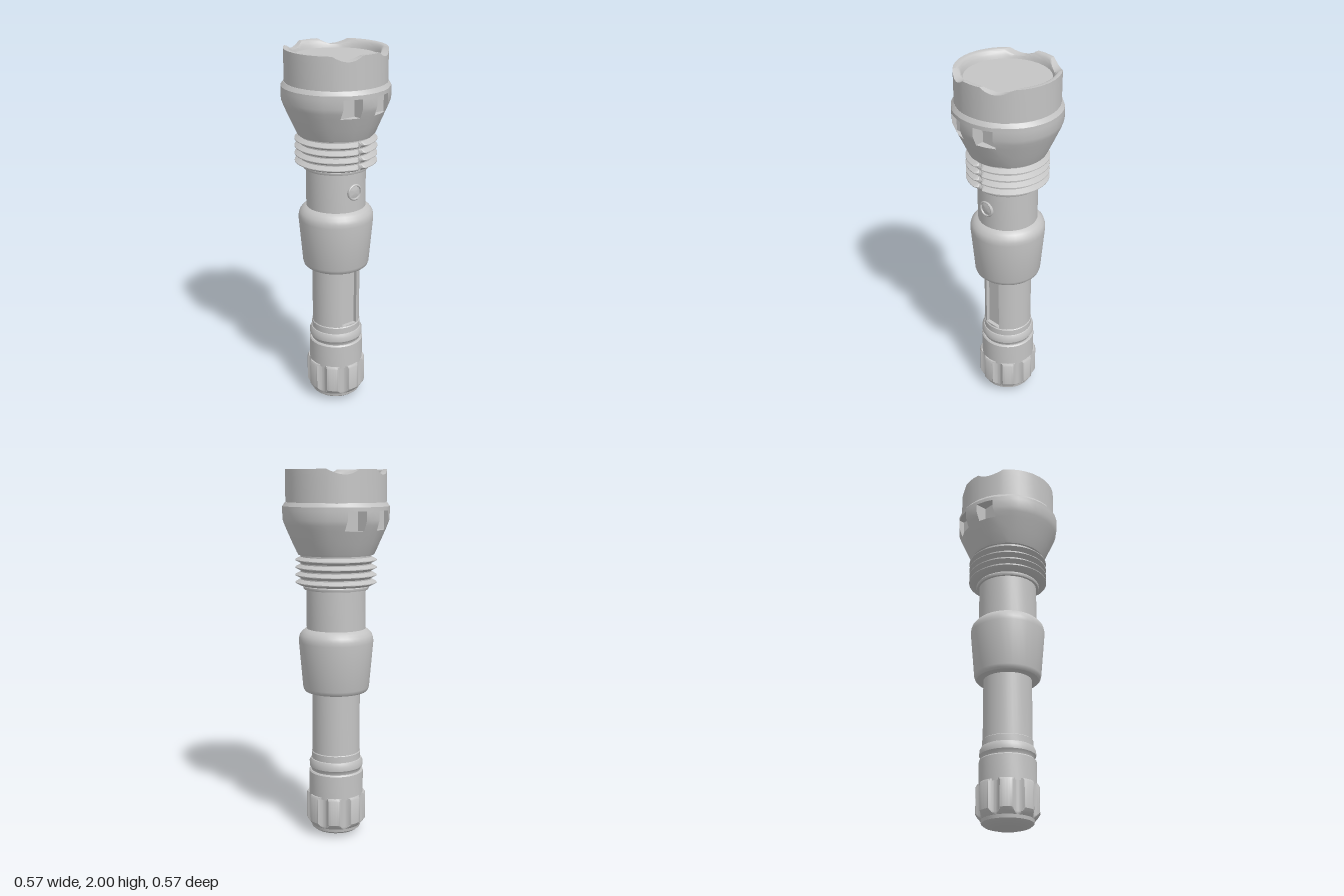
import * as THREE from 'three';
import { toCreasedNormals } from 'three/addons/utils/BufferGeometryUtils.js';

const deg = Math.PI / 180;

// A column is { angle(r), inside }; "inside" columns lie within a recess.
const at = (d, inside = false) => ({ angle: () => d * deg, inside });
const edge = (z, inside = false) => ({ angle: r => Math.asin(z / r), inside });
const between = (z, d, t) => ({ angle: r => Math.asin(z / r) * (1 - t) + d * deg * t, inside: false });
const mirrorX = c => ({ angle: r => Math.PI - c.angle(r), inside: c.inside });
const ring = n => Array.from({ length: n + 1 }, (_, i) => at(i * 360 / n));
// Full circle from the columns of the +x half
const bothSides = half => [at(-90), ...half, at(90), ...half.map(mirrorX).reverse(), at(270)];

// Surface of revolution from rows [radius, y, inside], with a rule that may move each point.
function loft(rows, cols, move = () => {}) {
  const grid = rows.map(([r, y, rowInside]) => cols.map(c => {
    const a = c.angle(Math.max(r, 1e-6));
    const p = new THREE.Vector3(r * Math.cos(a), y, r * Math.sin(a));
    move(p, a, r, Boolean(rowInside && c.inside));
    return p;
  }));
  const out = [];
  const tri = (a, b, c) => {
    const n = b.clone().sub(a).cross(c.clone().sub(a));
    if (n.length() > 1e-9) out.push(...a.toArray(), ...b.toArray(), ...c.toArray());
  };
  for (let i = 0; i < rows.length - 1; i++) {
    for (let j = 0; j < cols.length - 1; j++) {
      const a = grid[i][j], b = grid[i][j + 1], c = grid[i + 1][j + 1], d = grid[i + 1][j];
      tri(a, d, c);
      tri(a, c, b);
    }
  }
  const g = new THREE.BufferGeometry();
  g.setAttribute('position', new THREE.Float32BufferAttribute(out, 3));
  g.computeVertexNormals();
  return toCreasedNormals(g, 32 * deg);
}

export function createModel() {
  const group = new THREE.Group();
  const metal = new THREE.MeshStandardMaterial({ color: 0xc4c4c4 });
  metal.name = 'light grey metal';
  const add = (name, geometry) => {
    const mesh = new THREE.Mesh(geometry, metal);
    mesh.name = name;
    group.add(mesh);
    return mesh;
  };
  const round = ring(32);

  // Domed end and tail cap with eight wide flutes
  add('tailEnd', loft([[0, 0], [0.07, 0.006], [0.12, 0.02], [0.135, 0.032], [0.14, 0.06]], round));
  add('flutedTailCap', loft(
    [[0.13, 0.05], [0.141, 0.05], [0.147, 0.057], [0.152, 0.063], [0.158, 0.071], [0.164, 0.08],
      [0.164, 0.218], [0.157, 0.23], [0.138, 0.23]],
    ring(192),
    (p, a, r) => {
      const step = 45 * deg;
      const u = (a - (Math.floor(a / step) + 0.5) * step) / (11.5 * deg);
      const limit = Math.abs(u) < 1 ? 0.164 - 0.021 * (1 - u * u) : 1;
      const s = Math.min(1, limit / r);
      p.x *= s;
      p.z *= s;
    }));

  // Tail collar and its bead
  add('tailCollar', loft([
    [0.15, 0.22], [0.15, 0.355], [0.144, 0.362], [0.137, 0.362], [0.139, 0.372], [0.148, 0.385],
    [0.148, 0.41], [0.139, 0.428], [0.135, 0.43], [0.135, 0.465], [0.13, 0.47]], round));

  // Handle tube with a long slot on its left side that runs up into the grip
  const slotCols = [edge(-0.048), edge(-0.048, true), edge(0.048, true), edge(0.048)];
  for (let d = 30; d <= 330; d += 10) slotCols.push(at(d));
  slotCols.push({ angle: r => 2 * Math.PI + Math.asin(-0.048 / r), inside: false });
  add('handleTube', loft(
    [[0.131, 0.45], [0.131, 0.471], [0.131, 0.471, true], [0.131, 0.86, true], [0.131, 0.86]], slotCols,
    (p, a, r, inside) => { if (inside) p.x = 0.1; }));

  // Tapered grip
  add('taperedGrip', loft([
    [0.13, 0.87], [0.13, 0.808], [0.155, 0.808], [0.168, 0.811], [0.176, 0.819], [0.181, 0.835],
    [0.203, 1.085], [0.202, 1.105], [0.196, 1.125], [0.182, 1.142], [0.168, 1.153],
    [0.158, 1.158]], round));

  // Neck and small shoulder ring
  add('neck', loft([
    [0.16, 1.14], [0.16, 1.37], [0.173, 1.37], [0.176, 1.376], [0.176, 1.385], [0.17, 1.392],
    [0.17, 1.41]], round));

  // Cooling fins, with a narrow groove down the button side
  const fins = [[0.16, 1.39], [0.192, 1.392]];
  for (let i = 0; i < 4; i++) {
    const y = 1.408 + i * 0.04;
    fins.push([0.218, y - 0.002], [0.218, y + 0.002], [0.19, y + 0.017], [0.19, y + 0.023]);
  }
  fins.push([0.19, 1.57]);
  add('coolingFins', loft(fins, ring(144), p => {
    p.x = Math.min(p.x, 0.19 + Math.abs(p.z));
  }));

  // Head bowl with two square pockets on each side
  add('headBowl', loft([
    [0.16, 1.555], [0.203, 1.555], [0.21, 1.568], [0.235, 1.622], [0.265, 1.69], [0.265, 1.69, true],
    [0.276, 1.717, true], [0.285, 1.742, true], [0.285, 1.79, true],
    [0.285, 1.79], [0.285, 1.81], [0.27, 1.831], [0.262, 1.831]],
  bothSides([at(-80), at(-70), at(-60), at(-50),
    edge(-0.14), edge(-0.14, true), at(-20, true), edge(-0.04, true), edge(-0.04), at(0),
    edge(0.05), edge(0.05, true), at(22, true), edge(0.145, true), edge(0.145),
    at(50), at(60), at(70), at(80)]),
  (p, a, r, inside) => { if (inside) p.x = Math.sign(p.x) * 0.215; }));

  // Bezel with four scooped notches in its rounded rim
  const scoop = z0 => Array.from({ length: 13 }, (_, i) => edge(z0 + 0.14 * i / 12));
  const rimCols = bothSides([
    ...[0.75, 0.5, 0.25].map(t => between(-0.21, -90, t)), ...scoop(-0.21),
    edge(-0.035), edge(0), ...scoop(0.04),
    ...[0.2, 0.4, 0.6, 0.8].map(t => between(0.18, 90, t))]);
  add('bezel', loft([
    [0.268, 1.82], [0.268, 1.96], [0.268, 2], [0.25, 2], [0.245, 1.998], [0.24, 1.994],
    [0.235, 1.988], [0.231, 1.982], [0.227, 1.974], [0.223, 1.964], [0.22, 1.955]], rimCols,
  p => {
    for (const z of [-0.14, 0.11]) {
      const u = (p.z - z) / 0.07;
      if (Math.abs(u) < 1) p.y = Math.min(p.y, 2 - 0.028 * (1 - u * u));
    }
  }));

  // Flat front lens
  add('lens', loft([[0.223, 1.957], [0, 1.957]], round));

  // Round side button with a raised rim
  const button = add('sideButton', loft([
    [0.045, 0], [0.045, 0.018], [0.041, 0.022], [0.036, 0.022], [0.034, 0.014], [0.018, 0.018],
    [0, 0.019]], ring(24)));
  button.rotation.z = -Math.PI / 2;
  button.position.set(0.145, 1.265, 0);

  return group;
}
